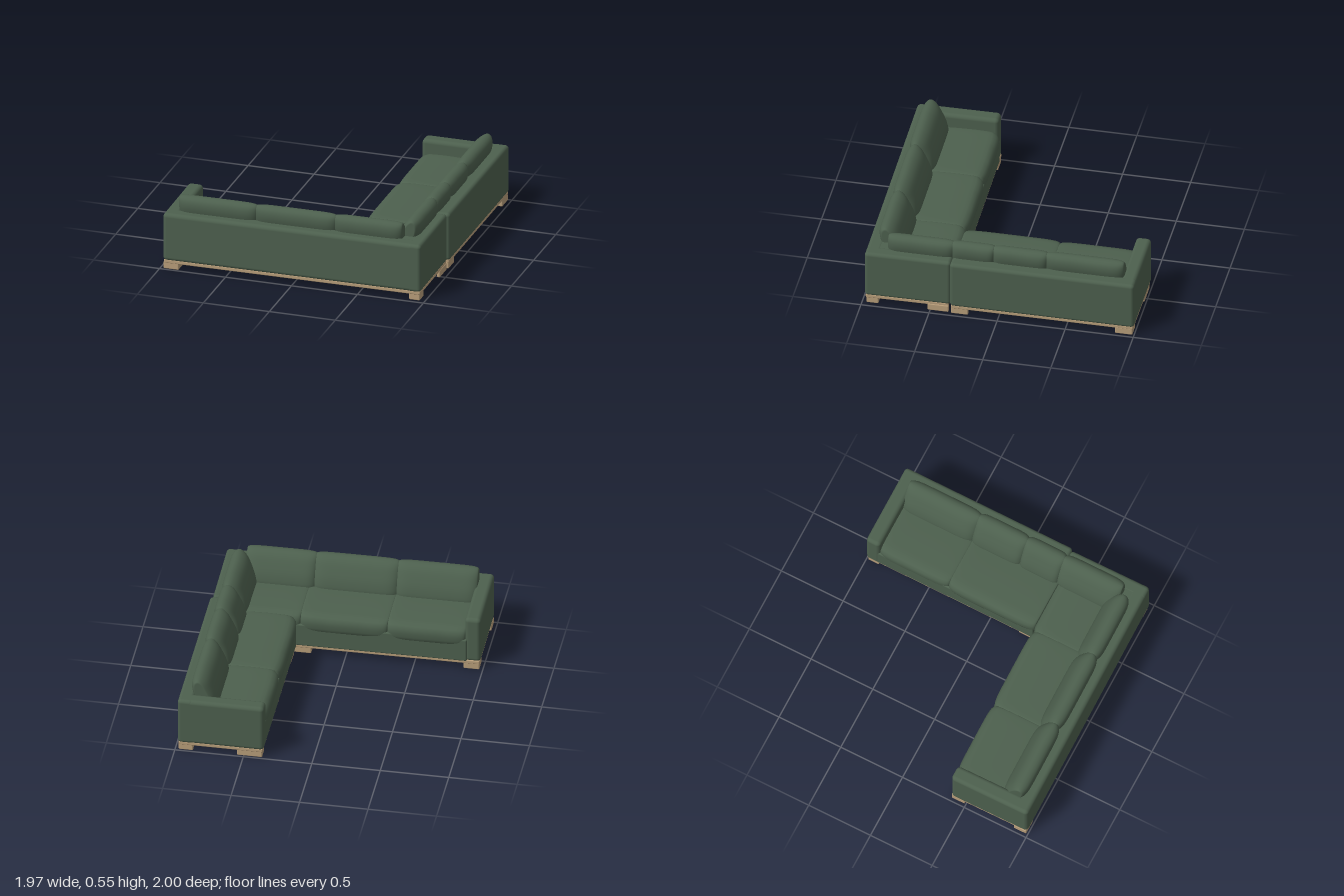
import * as THREE from 'three';
import { RoundedBoxGeometry } from 'three/addons/geometries/RoundedBoxGeometry.js';

const fabric = new THREE.MeshStandardMaterial({ color: 0x4d604e });
fabric.name = 'green fabric';
const wood = new THREE.MeshStandardMaterial({ color: 0xb89e7a });
wood.name = 'light wood';

// Rounded block given by its limits on each axis
function block(parent, name, material, [x0, x1], [y0, y1], [z0, z1], radius) {
  const geometry = new RoundedBoxGeometry(x1 - x0, y1 - y0, z1 - z0, 4, radius);
  const mesh = new THREE.Mesh(geometry, material);
  mesh.position.set((x0 + x1) / 2, (y0 + y1) / 2, (z0 + z1) / 2);
  mesh.name = name;
  parent.add(mesh);
}

// Profiles run up the front, over the top and down the back as (depth, height).
// pinch thins the depth towards the ends, drop lowers the height, lean tilts the middle plane.
const backCushion = {
  name: 'backCushion', pinch: 0.36, drop: 0.06, lean: 0.35,
  profile: [[0.728, 0.31], [0.736, 0.38], [0.768, 0.455], [0.815, 0.525], [0.865, 0.55],
    [0.908, 0.53], [0.921, 0.48], [0.905, 0.4], [0.86, 0.29], [0.775, 0.26]],
};
const seatCushion = {
  name: 'seatCushion', pinch: 0.02, drop: 0.06, lean: 0,
  profile: [[0.366, 0.2], [0.358, 0.24], [0.361, 0.3], [0.385, 0.324], [0.48, 0.333],
    [0.62, 0.333], [0.78, 0.326], [0.86, 0.315], [0.87, 0.2], [0.8, 0.18], [0.6, 0.18], [0.39, 0.18]],
};

// Soft cushion: a profile swept along an axis, closing at both ends
function cushion(parent, { name, pinch, drop, lean, profile }, axis, from, to, shift) {
  const curve = new THREE.CatmullRomCurve3(
    profile.map(([d, y]) => new THREE.Vector3(d + shift, y, 0)), true, 'centripetal');
  const sides = 40, steps = 48;
  const ring = curve.getSpacedPoints(sides).slice(0, sides);
  const centre = ring.reduce((sum, p) => sum.add(p), new THREE.Vector3()).divideScalar(sides);
  const positions = [], index = [];
  for (let i = 0; i <= steps; i++) {
    const a = (i / steps - 0.5) * Math.PI;
    const t = Math.sign(Math.sin(a)) * Math.pow(Math.abs(Math.sin(a)), 0.4);
    const c = i % steps ? Math.cos(a) : 0;
    const high = Math.pow(c, drop);
    const thick = high * (1 - pinch * Math.pow(Math.abs(t), 9));
    const along = (from + to) / 2 + t * (to - from) / 2;
    for (let j = 0; j < sides; j++) {
      const rise = ring[j].y - centre.y;
      const y = centre.y + rise * high;
      const offset = ring[j].x - centre.x - lean * rise;
      const depth = centre.x + lean * (y - centre.y) + offset * thick;
      if (axis === 'x') positions.push(along, y, depth);
      else positions.push(depth, y, along);
      if (i === steps) continue;
      const k = (j + 1) % sides;
      const [q, r, u, v] = [i * sides + j, i * sides + k, (i + 1) * sides + j, (i + 1) * sides + k];
      if (axis === 'x') index.push(q, r, u, r, v, u);
      else index.push(q, u, r, r, u, v);
    }
  }
  const geometry = new THREE.BufferGeometry();
  geometry.setAttribute('position', new THREE.Float32BufferAttribute(positions, 3));
  geometry.setIndex(index);
  geometry.computeVertexNormals();
  const mesh = new THREE.Mesh(geometry, fabric);
  mesh.name = name;
  parent.add(mesh);
}

export function createModel() {
  const sofa = new THREE.Group();
  sofa.name = 'cornerSofa';

  // Long run, turned very slightly
  const longRun = new THREE.Group();
  longRun.name = 'longRun';
  longRun.rotation.y = 0.009;
  longRun.position.x = -0.008;
  sofa.add(longRun);
  block(longRun, 'plinth', wood, [-0.972, 0.965], [0.045, 0.075], [0.375, 0.982], 0.008);
  block(longRun, 'seatBase', fabric, [-0.88, 0.95], [0.066, 0.25], [0.369, 0.95], 0.012);
  block(longRun, 'backFrame', fabric, [-0.98, 0.97], [0.064, 0.432], [0.875, 0.99], 0.03);
  block(longRun, 'arm', fabric, [-0.98, -0.865], [0.064, 0.432], [0.375, 0.99], 0.03);
  block(longRun, 'cornerFrame', fabric, [0.865, 0.97], [0.064, 0.432], [0.358, 0.99], 0.026);
  block(longRun, 'cornerFill', fabric, [0.78, 0.95], [0.2, 0.43], [0.8, 0.95], 0.02);
  for (const [a, b] of [[-0.872, -0.297], [-0.303, 0.337], [0.33, 0.88]])
    cushion(longRun, seatCushion, 'x', a, b, 0.004);
  for (const [a, b] of [[-0.885, -0.297], [-0.308, 0.302], [0.29, 0.802]])
    cushion(longRun, backCushion, 'x', a, b, 0.005);

  // Short run
  const shortRun = new THREE.Group();
  shortRun.name = 'shortRun';
  sofa.add(shortRun);
  block(shortRun, 'plinth', wood, [0.362, 0.975], [0.045, 0.075], [-0.992, 0.345], 0.008);
  block(shortRun, 'seatBase', fabric, [0.356, 0.95], [0.066, 0.25], [-0.95, 0.352], 0.012);
  block(shortRun, 'backFrame', fabric, [0.87, 0.982], [0.064, 0.432], [-1, 0.354], 0.026);
  block(shortRun, 'arm', fabric, [0.352, 0.982], [0.064, 0.432], [-1, -0.89], 0.03);
  cushion(shortRun, seatCushion, 'z', -0.897, -0.332, -0.006);
  cushion(shortRun, seatCushion, 'z', -0.338, 0.366, -0.014);
  for (const [a, b] of [[-0.905, -0.328], [-0.343, 0.058], [0.045, 0.36], [0.342, 0.828]])
    cushion(shortRun, backCushion, 'z', a, b, -0.015);

  // Feet: [x0, x1, z0, z1]
  const feet = [
    [-0.975, -0.86, 0.885, 0.988], [-0.975, -0.86, 0.385, 0.49], [0.88, 0.962, 0.88, 0.97],
    [0.94, 0.965, 0.365, 0.52], [0.94, 0.972, 0.22, 0.345], [0.87, 0.975, -0.988, -0.86],
    [0.365, 0.55, -0.988, -0.9], [0.37, 0.5, 0.23, 0.345], [0.25, 0.45, 0.375, 0.48]];
  for (const [x0, x1, z0, z1] of feet)
    block(sofa, 'foot', wood, [x0, x1], [0, 0.055], [z0, z1], 0.008);

  return sofa;
}
